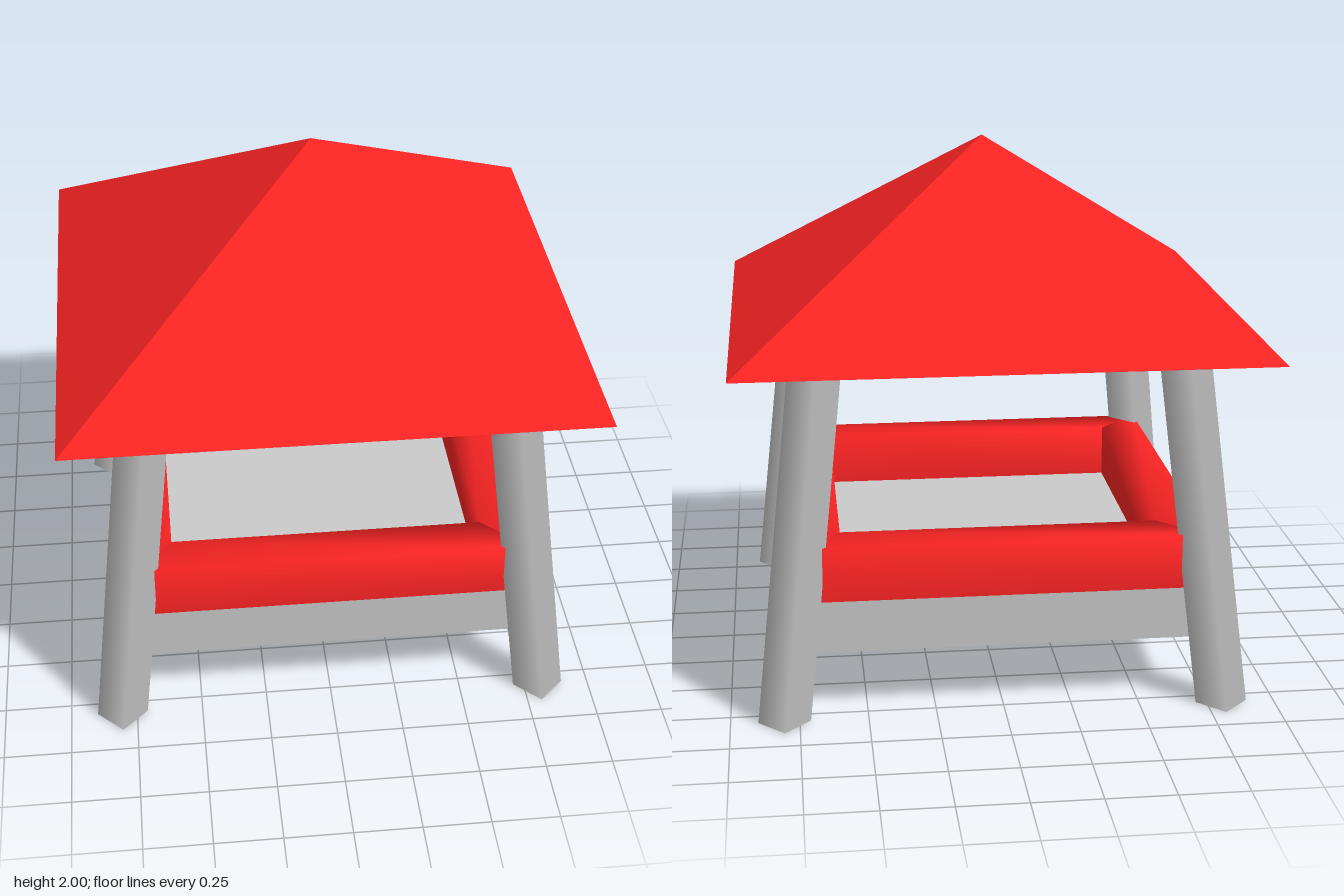
import * as THREE from 'three';

const grey = new THREE.MeshStandardMaterial({ color: 0xcccccc });
const red = new THREE.MeshStandardMaterial({ color: 0xff2424 });
const redFlat = new THREE.MeshStandardMaterial({ color: 0xff2424, flatShading: true });

function addMesh(parent, name, geometry, material) {
  const mesh = new THREE.Mesh(geometry, material);
  mesh.name = name;
  parent.add(mesh);
  return mesh;
}

// Four-sided post with a diamond plan, sheared so foot and top stay level
function leaningLeg(sx, sz) {
  const height = 1.325, foot = 0.805, top = 0.66;
  const geo = new THREE.CylinderGeometry(0.095, 0.095, height, 4);
  geo.translate(0, height / 2, 0);
  const p = geo.attributes.position;
  for (let i = 0; i < p.count; i++) {
    const c = THREE.MathUtils.lerp(foot, top, p.getY(i) / height);
    p.setX(i, p.getX(i) + sx * c);
    p.setZ(i, p.getZ(i) + sz * c);
  }
  return geo;
}

export function createModel() {
  const model = new THREE.Group();
  model.name = 'pavilion';
  const floorY = 0.435, rimY = 0.64, outer = 0.75, inner = 0.585;

  // Pyramid roof with a closed underside
  const roof = new THREE.ConeGeometry(0.965 * Math.SQRT2, 0.675, 4);
  roof.rotateY(Math.PI / 4);
  roof.translate(0, 1.325 + 0.675 / 2, 0);
  addMesh(model, 'roof', roof, redFlat);

  // Legs at the four corners
  for (const sx of [-1, 1])
    for (const sz of [-1, 1])
      addMesh(model, (sz > 0 ? 'front' : 'back') + (sx > 0 ? 'Left' : 'Right') + 'Leg', leaningLeg(sx, sz), grey);

  // Square floor slab
  const floor = new THREE.BoxGeometry(outer * 2, floorY - 0.24, outer * 2);
  floor.translate(0, (floorY + 0.24) / 2, 0);
  addMesh(model, 'floorSlab', floor, grey);

  // Mitred rim around the floor, softly shaded across its section
  const profile = [[outer, floorY], [outer, rimY], [inner, rimY], [inner, floorY]]
    .map(([r, y]) => new THREE.Vector2(r * Math.SQRT2, y));
  const rim = new THREE.Group();
  rim.name = 'rim';
  const side = new THREE.LatheGeometry(profile, 1, -Math.PI / 4, Math.PI / 2);
  side.computeVertexNormals();
  ['front', 'left', 'back', 'right'].forEach((name, i) => {
    addMesh(rim, name + 'Rim', side, red).rotation.y = i * Math.PI / 2;
  });
  model.add(rim);

  return model;
}
